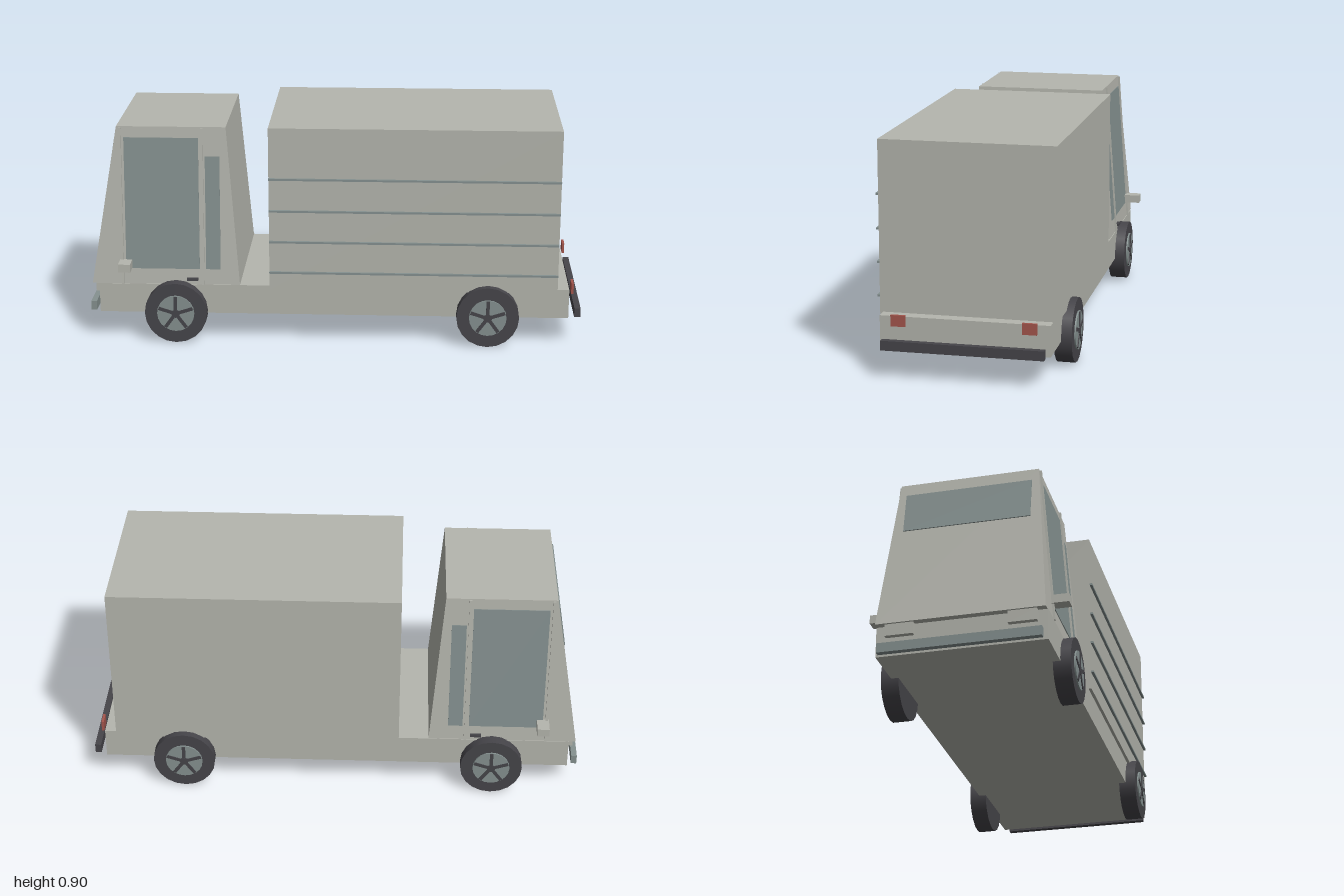
import * as THREE from 'three';

const mat = (name, color) => {
  const m = new THREE.MeshStandardMaterial({ color });
  m.name = name;
  return m;
};

export function createModel() {
  const truck = new THREE.Group();
  truck.name = 'boxTruck';
  const body = mat('body grey', 0xb5b6ae);
  const glass = mat('glass grey', 0x859190);
  const dark = mat('rubber dark', 0x46454a);
  const red = mat('tail light red', 0xa5564d);

  const add = (name, geo, material, parent = truck) => {
    const m = new THREE.Mesh(geo, material);
    m.name = name;
    parent.add(m);
    return m;
  };
  // Box given by its extents on each axis
  const box = (name, material, [x0, x1], [y0, y1], [z0, z1], parent) => {
    const m = add(name, new THREE.BoxGeometry(x1 - x0, y1 - y0, z1 - z0), material, parent);
    m.position.set((x0 + x1) / 2, (y0 + y1) / 2, (z0 + z1) / 2);
    return m;
  };

  box('chassis', body, [-0.96, 0.95], [0.115, 0.237], [-0.328, 0.328]);
  box('cargoBox', body, [-0.263, 0.902], [0.225, 0.902], [-0.34, 0.34]);

  // Horizontal rails on one side of the cargo box
  for (const y of [0.3, 0.43, 0.56, 0.693])
    box('cargoRail', glass, [-0.263, 0.902], [y - 0.004, y + 0.004], [0.34, 0.35]);

  // Cab: a box tapering towards the roof
  const Y0 = 0.237, H = 0.65;
  const cab = new THREE.BoxGeometry(1, H, 1);
  const p = cab.attributes.position;
  for (let i = 0; i < p.count; i++) {
    const top = p.getY(i) > 0, front = p.getX(i) < 0;
    const x = front ? (top ? -0.877 : -0.988) : (top ? -0.437 : -0.385);
    p.setXYZ(i, x, top ? Y0 + H : Y0, Math.sign(p.getZ(i)) * (top ? 0.275 : 0.325));
  }
  cab.computeVertexNormals();
  add('cab', cab, body);

  // Windscreen on the sloping front
  const front = new THREE.Group();
  front.name = 'cabFront';
  front.position.set(-0.988, Y0, 0);
  front.rotation.z = -Math.atan(0.111 / H);
  truck.add(front);
  box('windscreen', glass, [-0.004, 0.003], [0.43, 0.605], [-0.25, 0.25], front);

  // Windows, door seams and handle on both sloping sides
  for (const s of [1, -1]) {
    const side = new THREE.Group();
    side.name = s > 0 ? 'cabSideLeft' : 'cabSideRight';
    side.position.set(0, Y0, s * 0.325);
    side.rotation.x = -s * Math.atan(0.05 / H);
    truck.add(side);
    const out = (d) => (s > 0 ? [-0.004, d] : [-d, 0.004]);
    box('doorWindow', glass, [-0.848, -0.548], [0.065, 0.607], out(0.003), side);
    box('rearSideWindow', glass, [-0.522, -0.463], [0.065, 0.533], out(0.003), side);
    for (const x of [-0.863, -0.534])
      box('doorTrim', body, [x - 0.005, x + 0.005], [0, 0.648], out(0.008), side);
    box('doorHandle', dark, [-0.6, -0.555], [0.018, 0.028], out(0.014), side);
    box('mirror', body, [-0.872, -0.823], [0.305, 0.339], s > 0 ? [0.315, 0.387] : [-0.387, -0.315]);
  }

  // Bumpers and lights
  box('frontBumper', glass, [-1, -0.977], [0.115, 0.153], [-0.313, 0.313]);
  box('rearBumper', dark, [0.975, 1], [0.115, 0.153], [-0.313, 0.313]);
  for (const s of [1, -1]) {
    box('headlight', body, [-0.98, -0.96], [0.19, 0.237], [s * 0.235 - 0.055, s * 0.235 + 0.055]);
    box('tailLight', red, [0.962, 0.972], [0.203, 0.247], [s * 0.252 - 0.028, s * 0.252 + 0.028]);
  }

  // Wheels, with the outer face along +z
  for (const x of [-0.645, 0.622]) for (const s of [1, -1]) {
    const wheel = new THREE.Group();
    wheel.name = 'wheel';
    wheel.position.set(x, 0.127, s * 0.334);
    if (s < 0) wheel.rotation.y = Math.PI;
    truck.add(wheel);
    const disc = (name, r, d, z, material) => {
      const m = add(name, new THREE.CylinderGeometry(r, r, d, 20), material, wheel);
      m.rotation.x = Math.PI / 2;
      m.position.z = z;
    };
    disc('tyre', 0.127, 0.07, 0, dark);
    disc('rim', 0.076, 0.01, 0.036, glass);
    disc('hub', 0.017, 0.014, 0.038, dark);
    for (let i = 0; i < 5; i++) {
      const spoke = new THREE.Group();
      spoke.name = 'spoke';
      spoke.rotation.z = (i / 5) * Math.PI * 2;
      wheel.add(spoke);
      box('spokeBar', dark, [-0.007, 0.007], [0.01, 0.073], [0.036, 0.044], spoke);
    }
  }
  return truck;
}
